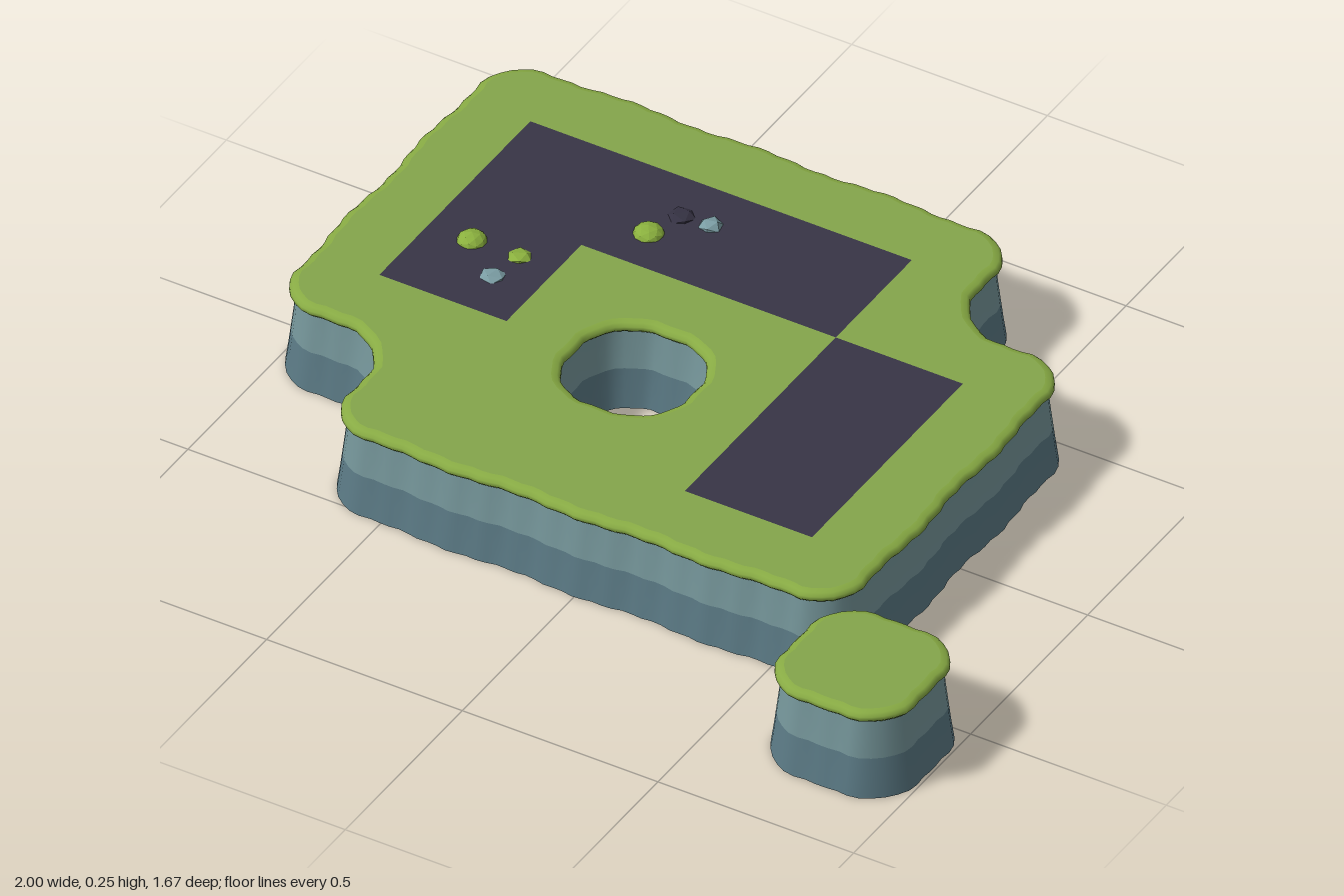
import * as THREE from 'three';

const mat = (name, color, extra = {}) => {
  const m = new THREE.MeshStandardMaterial({ color, ...extra });
  m.name = name;
  return m;
};
const D = { side: THREE.DoubleSide };
const grass = mat('grass green', 0x84a64b, D);
const lipGreen = mat('grass edge green', 0x88ab44, D);
const rockLight = mat('upper cliff grey blue', 0x76979b, D);
const rockDark = mat('lower cliff slate', 0x5b7a85, D);
const slate = mat('dark floor', 0x383546);
const bushGreen = mat('bush green', 0x8ab03e, { flatShading: true });
const stone = mat('stone blue grey', 0x7a9ca3, { flatShading: true });
const darkStone = mat('dark stone', 0x343142, { flatShading: true });

const TILE = 0.325, TOP = 0.226;

// Rounded outline of a polygon: points with outward normals, in x and z
function outline(corners, r) {
  const out = [], n = corners.length, steps = 8;
  const dir = (a, b) => new THREE.Vector2().subVectors(b, a).normalize();
  const pts = corners.map(([x, z]) => new THREE.Vector2(x, z));
  for (let i = 0; i < n; i++) {
    const p = pts[i], next = pts[(i + 1) % n];
    const d1 = dir(pts[(i + n - 1) % n], p), d2 = dir(p, next);
    const sign = Math.sign(d1.cross(d2));
    const c = p.clone().addScaledVector(d2, r).addScaledVector(d1, -r);
    const a0 = Math.atan2(-d1.x, d1.y);
    for (let k = 0; k <= steps; k++) {
      const a = a0 + sign * (Math.PI / 2) * (k / steps);
      const normal = new THREE.Vector2(Math.cos(a), Math.sin(a));
      out.push({ p: c.clone().addScaledVector(normal, sign * r), n: normal });
    }
    // straight run to the next corner
    const len = p.distanceTo(next) - 2 * r, m = Math.max(1, Math.round(len / 0.025));
    const normal = new THREE.Vector2(d2.y, -d2.x);
    for (let k = 1; k < m; k++)
      out.push({ p: p.clone().addScaledVector(d2, r + (len * k) / m), n: normal });
  }
  return out;
}

// Outline moved outward by d, with a gentle wave on every tile
function ring(line, d) {
  const wave = (t) => 0.005 * Math.cos((2 * Math.PI * t) / TILE) + 0.0025 * Math.cos((8 * Math.PI * t) / TILE);
  return line.map(({ p, n }) => {
    const w = n.y * n.y * wave(p.x) + n.x * n.x * wave(p.y - TILE / 2);
    return p.clone().addScaledVector(n, d + w);
  });
}

// Wall swept round an outline from a profile of [offset, height]
function sweep(line, profile, material, name) {
  const pos = [], idx = [], n = line.length;
  for (const [d, y] of profile) for (const q of ring(line, d)) pos.push(q.x, y, q.y);
  for (let j = 0; j < profile.length - 1; j++)
    for (let i = 0; i < n; i++) {
      const a = j * n + i, b = j * n + ((i + 1) % n);
      idx.push(a, a + n, b, b, a + n, b + n);
    }
  const g = new THREE.BufferGeometry();
  g.setAttribute('position', new THREE.Float32BufferAttribute(pos, 3));
  g.setIndex(idx);
  g.computeVertexNormals();
  const mesh = new THREE.Mesh(g, material);
  mesh.name = name;
  return mesh;
}

const LOWER = [[0.01, 0], [0.003, 0.05], [-0.003, 0.1]];
const UPPER = [[-0.003, 0.1], [-0.009, 0.15], [-0.014, 0.203]];
const LIP = [[-0.02, 0.2], [-0.005, 0.201], [0.001, 0.208], [0, 0.216], [-0.007, 0.223], [-0.02, TOP]];

// Open-bottomed cliff with a grass top and optional holes
function plateau(name, outer, holes = []) {
  const group = new THREE.Group();
  group.name = name;
  for (const line of [outer, ...holes]) {
    group.add(sweep(line, LOWER, rockDark, 'lowerCliff'));
    group.add(sweep(line, UPPER, rockLight, 'upperCliff'));
    group.add(sweep(line, LIP, lipGreen, 'grassLip'));
  }
  const flat = (line) => ring(line, -0.02).map((q) => new THREE.Vector2(q.x, -q.y));
  const shape = new THREE.Shape(flat(outer));
  shape.holes = holes.map((h) => new THREE.Path(flat(h)));
  const top = new THREE.Mesh(new THREE.ShapeGeometry(shape).rotateX(-Math.PI / 2), grass);
  top.name = 'grassTop';
  top.position.y = TOP;
  group.add(top);
  return group;
}

const rect = (x0, x1, z0, z1) => [[x0, z0], [x1, z0], [x1, z1], [x0, z1]];

export function createModel() {
  const model = new THREE.Group();
  model.name = 'island';

  // Main island with two stepped corners and a through hole
  const coast = [[-0.985, -0.827], [0.34, -0.827], [0.34, -0.502], [0.668, -0.502],
    [0.668, 0.506], [-0.658, 0.506], [-0.658, 0.18], [-0.985, 0.18]];
  const well = rect(-0.308, -0.012, -0.147, 0.147).reverse();
  model.add(plateau('mainIsland', outline(coast, 0.13), [outline(well, 0.105)]));

  // Small separate pillar
  model.add(plateau('pillar', outline(rect(0.638, 0.987, 0.474, 0.823), 0.135)));

  // Dark floor panels
  for (const [x0, x1, z0, z1] of [[-0.81, 0.165, -0.645, -0.32], [-0.81, -0.485, -0.32, 0], [0.165, 0.49, -0.32, 0.325]]) {
    const panel = new THREE.Mesh(new THREE.PlaneGeometry(x1 - x0, z1 - z0).rotateX(-Math.PI / 2), slate);
    panel.name = 'darkFloor';
    panel.position.set((x0 + x1) / 2, TOP + 0.002, (z0 + z1) / 2);
    model.add(panel);
  }

  // Bushes and stones on the panels
  const lump = (name, material, x, z, r, h, detail, turn) => {
    const m = new THREE.Mesh(new THREE.IcosahedronGeometry(1, detail), material);
    m.name = name;
    m.scale.set(r, h, r);
    m.rotation.y = turn;
    m.position.set(x, TOP, z);
    model.add(m);
  };
  lump('bush', bushGreen, -0.7, -0.212, 0.035, 0.024, 1, 0.3);
  lump('bush', bushGreen, -0.38, -0.432, 0.036, 0.024, 1, 1.1);
  lump('smallBush', bushGreen, -0.58, -0.215, 0.031, 0.014, 0, 0.5);
  lump('stone', stone, -0.595, -0.125, 0.032, 0.014, 0, 1.4);
  lump('stone', stone, -0.277, -0.525, 0.03, 0.019, 0, 0.2);
  lump('darkStone', darkStone, -0.35, -0.522, 0.034, 0.014, 0, 0.8);
  return model;
}
